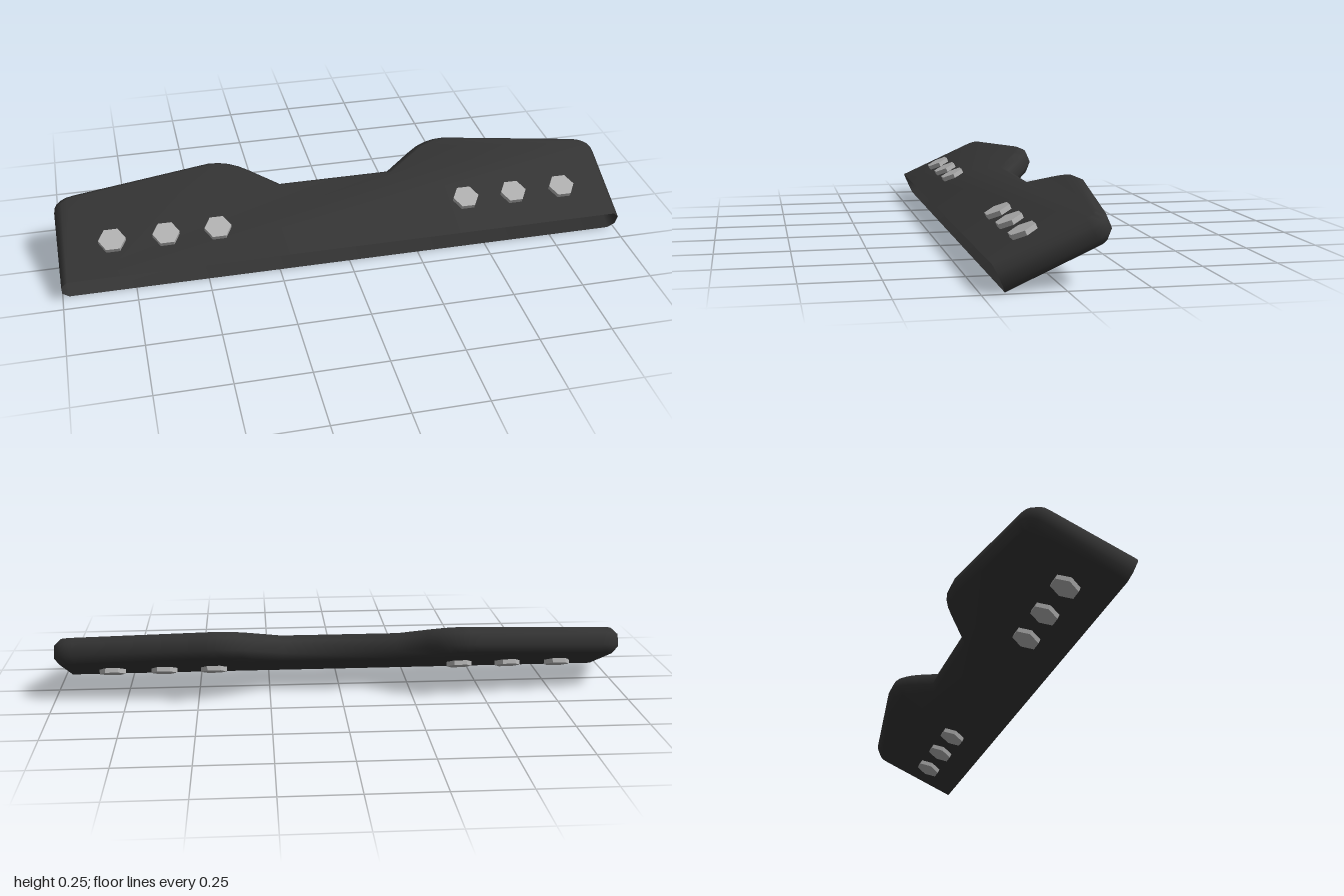
import * as THREE from 'three';
import { toCreasedNormals } from 'three/addons/utils/BufferGeometryUtils.js';

const THICKNESS = 0.09;
const BEVEL = 0.022;
const BEVEL_DEPTH = 0.0235;

// Plate outline (x across, y from front edge to back), chamfered all round
// except along the front, which is left open.
function plateGeometry() {
  const s = new THREE.Shape();
  s.moveTo(-1, -BEVEL);
  s.lineTo(1, -BEVEL);
  s.lineTo(1, 0.3);
  s.quadraticCurveTo(1, 0.356, 0.93, 0.367);
  s.lineTo(0.48, 0.434);
  s.quadraticCurveTo(0.385, 0.456, 0.3, 0.39);
  s.lineTo(0.2, 0.315);
  s.lineTo(-0.2, 0.315);
  s.lineTo(-0.3, 0.39);
  s.quadraticCurveTo(-0.385, 0.456, -0.48, 0.434);
  s.lineTo(-0.93, 0.367);
  s.quadraticCurveTo(-1, 0.356, -1, 0.3);
  s.closePath();

  const solid = new THREE.ExtrudeGeometry(s, {
    depth: THICKNESS - 2 * BEVEL_DEPTH,
    bevelSize: BEVEL,
    bevelOffset: -BEVEL,
    bevelThickness: BEVEL_DEPTH,
    bevelSegments: 1,
    curveSegments: 5,
  });
  solid.translate(0, 0, BEVEL_DEPTH);

  // Cut the front flat and drop the faces that lie on the cut
  const p = solid.attributes.position;
  const kept = [];
  for (let i = 0; i < p.count; i += 3) {
    const tri = [i, i + 1, i + 2].map((k) => [p.getX(k), Math.max(0, p.getY(k)), p.getZ(k)]);
    if (tri.every((v) => v[1] < 1e-5)) continue;
    kept.push(...tri.flat());
  }
  const g = new THREE.BufferGeometry();
  g.setAttribute('position', new THREE.Float32BufferAttribute(kept, 3));
  return toCreasedNormals(g, 1.0);
}

export function createModel() {
  const black = new THREE.MeshStandardMaterial({ color: 0x333333, side: THREE.DoubleSide });
  black.name = 'charcoal';
  const steel = new THREE.MeshStandardMaterial({ color: 0xb0b0b0, flatShading: true });
  steel.name = 'steel grey';

  // Everything is built flat, then tilted up towards the back
  const bracket = new THREE.Group();
  bracket.name = 'tiltedBracket';
  bracket.rotation.x = -1.15;
  bracket.position.z = 0.178;

  const plate = new THREE.Mesh(plateGeometry(), black);
  plate.name = 'plate';
  bracket.add(plate);

  // Hexagonal bolts running right through the plate
  const boltGeo = new THREE.CylinderGeometry(0.047, 0.047, 0.123, 6);
  boltGeo.rotateY(Math.PI / 6);
  boltGeo.rotateX(Math.PI / 2);
  for (const side of [-1, 1]) {
    for (const x of [0.45, 0.63, 0.815]) {
      const bolt = new THREE.Mesh(boltGeo, steel);
      bolt.name = side > 0 ? 'leftBolt' : 'rightBolt';
      bolt.position.set(side * x, 0.14, THICKNESS / 2);
      bracket.add(bolt);
    }
  }

  const model = new THREE.Group();
  model.name = 'boltedBracket';
  model.add(bracket);
  return model;
}
